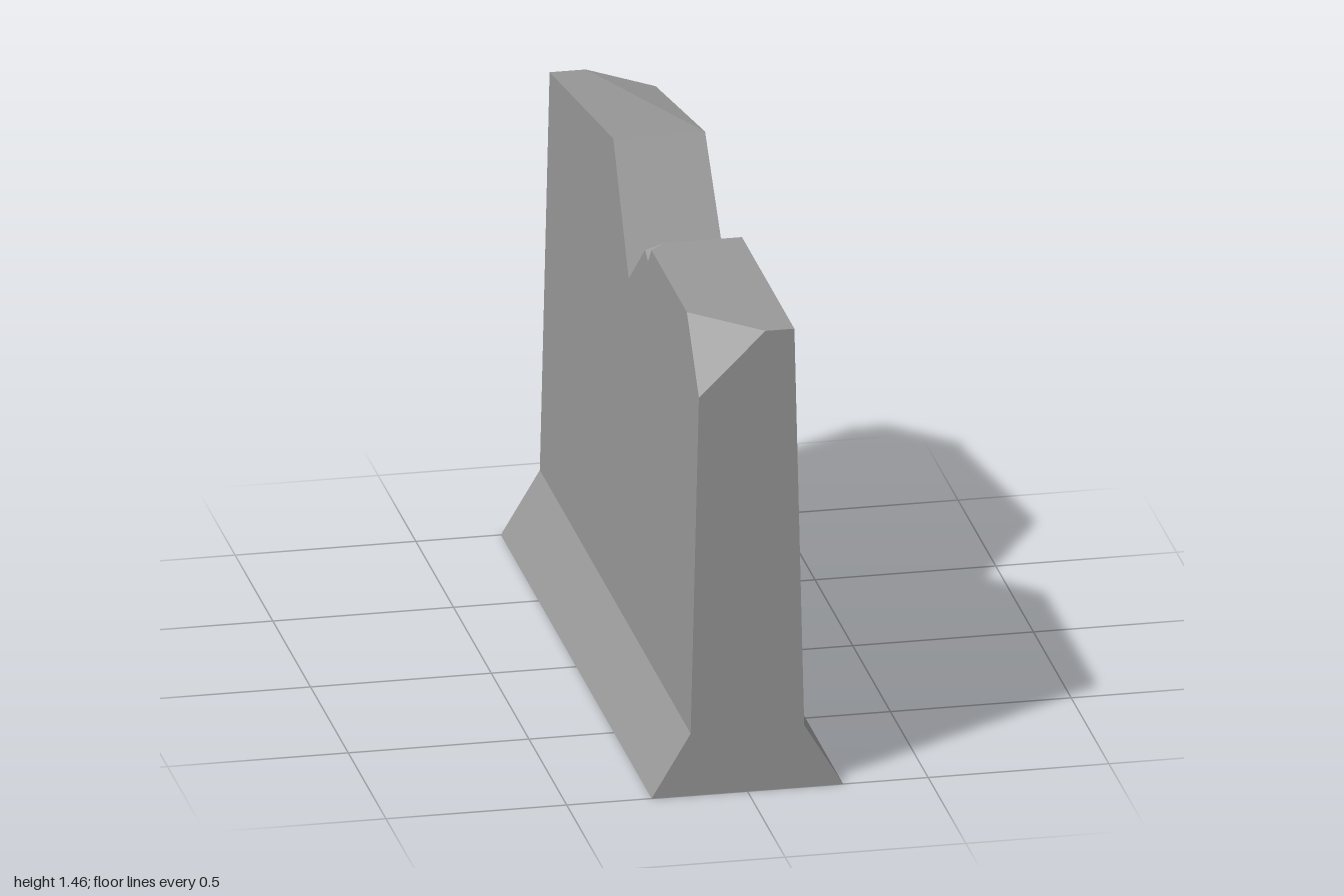
import * as THREE from 'three';

const WAIST = 0.18, FOOT = 0.265;

// Half width of the tapering wall at height y
const halfWidth = (y) => 0.157 - 0.0234 * (y - WAIST);

const V = (x, y, z) => new THREE.Vector3(x, y, z);
const L = (z, y) => V(-halfWidth(y), y, z);
const R = (z, y) => V(halfWidth(y), y, z);

// Flat mesh from polygons, each given with an approximate outward direction
function polyMesh(name, material, polygons) {
  const pos = [];
  for (const [out, points] of polygons) {
    const dir = V(...out);
    const [ax, ay, az] = out.map(Math.abs);
    const flat = points.map((p) =>
      ax >= ay && ax >= az ? new THREE.Vector2(p.z, p.y)
        : ay >= az ? new THREE.Vector2(p.x, p.z) : new THREE.Vector2(p.x, p.y));
    for (const tri of THREE.ShapeUtils.triangulateShape(flat, [])) {
      let [a, b, c] = tri.map((i) => points[i]);
      const n = b.clone().sub(a).cross(c.clone().sub(a));
      if (n.dot(dir) < 0) [b, c] = [c, b];
      for (const p of [a, b, c]) pos.push(p.x, p.y, p.z);
    }
  }
  const geometry = new THREE.BufferGeometry();
  geometry.setAttribute('position', new THREE.Float32BufferAttribute(pos, 3));
  geometry.computeVertexNormals();
  const mesh = new THREE.Mesh(geometry, material);
  mesh.name = name;
  return mesh;
}

export function createModel() {
  const model = new THREE.Group();
  model.name = 'brokenBarrier';
  const concrete = new THREE.MeshStandardMaterial({ color: 0x999999 });
  concrete.name = 'concrete';

  // Corners of the broken top
  const frontCutL = L(0.82, 1.335), frontCutR = V(0.05, 1.335, 1), frontCutLow = L(1, 1.155);
  const backCutR = R(-0.84, 1.335), backCutL = V(-0.03, 1.335, -1), backCutLow = R(-1, 1.18);
  const chipTop = L(0.35, 1.335), chipIn = V(-0.085, 1.335, 0.305);
  const chipLow = L(0.31, 1.287), chipBack = L(0.27, 1.305);
  const lipR = R(0.305, 1.335), frontR = R(1, 1.335), backL = L(-1, 1.335);
  const notchL = L(0.07, 1.145), notchR = R(0.07, 1.145);
  const peakL = L(-0.17, 1.46), peakR = R(-0.17, 1.46);

  // Side and end walls
  model.add(polyMesh('wall', concrete, [
    [[-1, 0, 0], [L(1, WAIST), frontCutLow, frontCutL, chipTop, chipLow, chipBack,
      notchL, peakL, backL, L(-1, WAIST)]],
    [[1, 0, 0], [R(1, WAIST), frontR, lipR, notchR, peakR, backCutR, backCutLow, R(-1, WAIST)]],
    [[0, 0, 1], [L(1, WAIST), R(1, WAIST), frontR, frontCutR, frontCutLow]],
    [[0, 0, -1], [L(-1, WAIST), R(-1, WAIST), backCutLow, backCutL, backL]],
  ]));

  // Top surfaces and the V-shaped break
  model.add(polyMesh('brokenTop', concrete, [
    [[0, 1, 0], [frontCutL, frontCutR, frontR, lipR, chipIn, chipTop]],
    [[0, 1, -0.8], [chipIn, lipR, notchR, notchL, chipBack]],
    [[0, 0.8, 1], [notchL, notchR, peakR, peakL]],
    [[0, 1, 0], [peakL, peakR, backCutL, backL]],
    [[0.2, 1, 0], [peakR, backCutR, backCutL]],
  ]));

  // Knocked-off corners
  model.add(polyMesh('chippedCorners', concrete, [
    [[-1, 1.1, 1], [frontCutL, frontCutR, frontCutLow]],
    [[1, 1.1, -1], [backCutR, backCutL, backCutLow]],
    [[-1, 1.1, -0.5], [chipTop, chipIn, chipBack, chipLow]],
  ]));

  // Flared foot
  const foot = [[0, -1, 0], [V(-FOOT, 0, 1), V(FOOT, 0, 1), V(FOOT, 0, -1), V(-FOOT, 0, -1)]];
  const flares = [-1, 1].flatMap((s) => {
    const side = s < 0 ? L : R;
    return [
      [[s, 0.5, 0], [V(s * FOOT, 0, 1), V(s * FOOT, 0, -1), side(-1, WAIST), side(1, WAIST)]],
      [[0, 0, s], [V(-FOOT, 0, s), V(FOOT, 0, s), R(s, WAIST), L(s, WAIST)]],
    ];
  });
  model.add(polyMesh('foot', concrete, [foot, ...flares]));
  return model;
}
